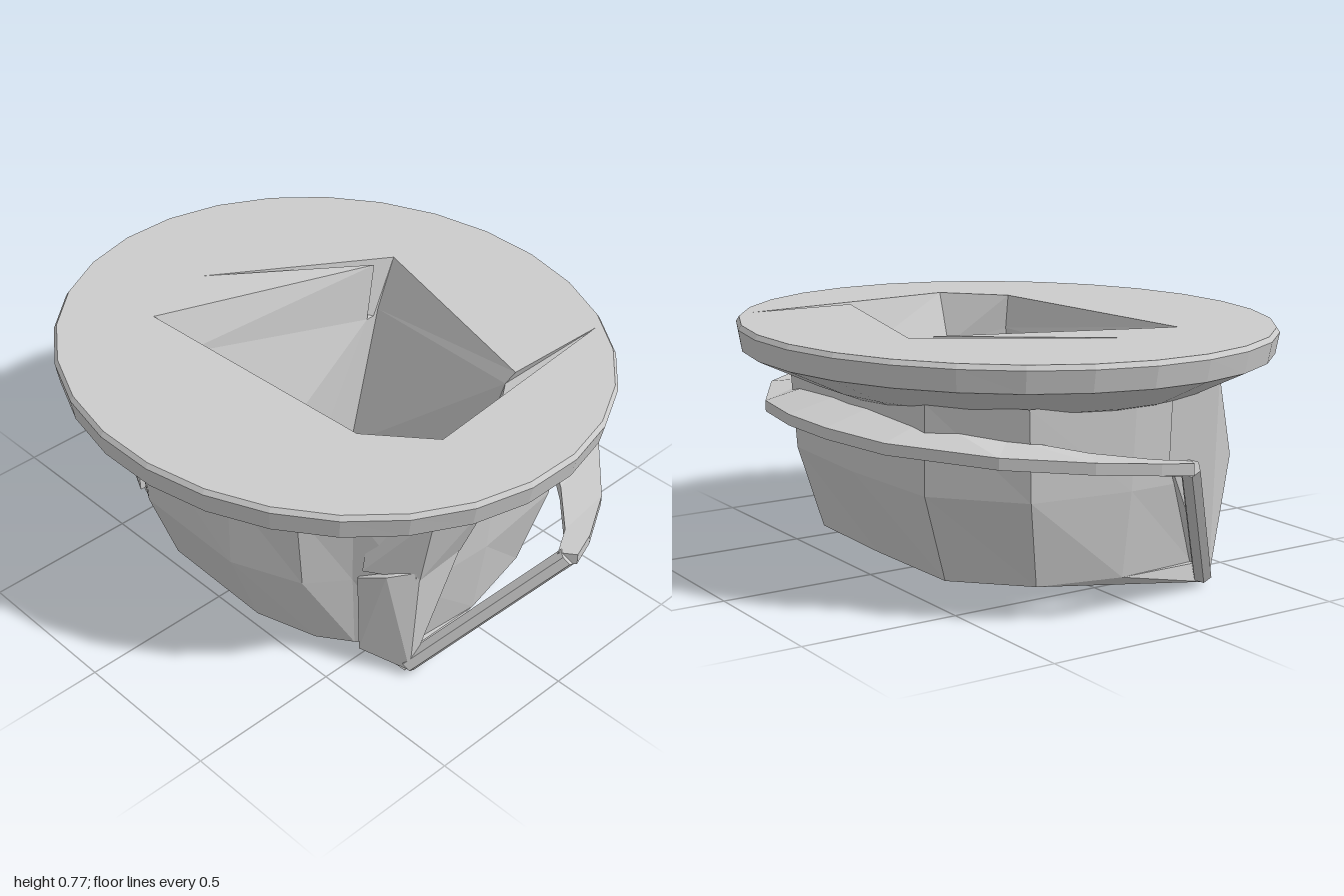
import * as THREE from 'three';
import { ConvexGeometry } from 'three/addons/geometries/ConvexGeometry.js';

const material = new THREE.MeshStandardMaterial({
  color: 0xcccccc, flatShading: true, side: THREE.DoubleSide,
});

// Skin between cross-sections that share a point count
function loft(sections, capEnds = false) {
  const n = sections[0].length, pos = sections.flat(2), idx = [];
  for (let s = 0; s < sections.length - 1; s++) {
    for (let i = 0; i < n; i++) {
      const a = s * n + i, b = s * n + (i + 1) % n;
      idx.push(a, a + n, b, b, a + n, b + n);
    }
  }
  if (capEnds) {
    const last = (sections.length - 1) * n;
    for (let i = 1; i < n - 1; i++) idx.push(0, i, i + 1, last, last + i + 1, last + i);
  }
  const g = new THREE.BufferGeometry();
  g.setAttribute('position', new THREE.Float32BufferAttribute(pos, 3));
  g.setIndex(idx);
  const flat = g.toNonIndexed();
  flat.computeVertexNormals();
  return flat;
}

const ring = (points, y) => points.map(([x, z]) => [x, y, z]);
const ellipse = (rx, rz, y, n = 28) => Array.from({ length: n }, (_, i) => {
  const a = -(i + 0.5) / n * Math.PI * 2;
  return [Math.cos(a) * rx, y, Math.sin(a) * rz];
});
const hull = (points) => new ConvexGeometry(points.map((p) => new THREE.Vector3(...p)));

// Flat horizontal sheet from x, z outlines
const toPlane = (points) => points.map(([x, z]) => new THREE.Vector2(x, -z));
function sheet(outline, y, hole) {
  const shape = new THREE.Shape(toPlane(outline));
  if (hole) shape.holes.push(new THREE.Path(toPlane(hole)));
  return new THREE.ShapeGeometry(shape).rotateX(-Math.PI / 2).translate(0, y, 0);
}

export function createModel() {
  const group = new THREE.Group();
  const add = (name, geometry) => {
    const mesh = new THREE.Mesh(geometry, material);
    mesh.name = name;
    group.add(mesh);
    return mesh;
  };

  // Faceted bowl: three outlines from floor to lid
  const low = [[-0.2, 0.5], [0.2, 0.51], [0.4, 0.45], [0.5, 0.38], [0.62, 0.28], [0.64, 0], [0.58, -0.27],
    [0.38, -0.46], [0, -0.47], [-0.38, -0.46], [-0.58, -0.27], [-0.64, 0], [-0.62, 0.28], [-0.4, 0.42]];
  const mid = [[-0.2, 0.6], [0.2, 0.61], [0.42, 0.52], [0.51, 0.4], [0.67, 0.3], [0.68, 0], [0.64, -0.33],
    [0.4, -0.54], [0, -0.56], [-0.4, -0.54], [-0.64, -0.33], [-0.68, 0], [-0.67, 0.3], [-0.46, 0.45]];
  const high = [[-0.2, 0.61], [0.2, 0.61], [0.42, 0.54], [0.53, 0.42], [0.69, 0.3], [0.7, 0], [0.66, -0.35],
    [0.42, -0.55], [0, -0.57], [-0.42, -0.55], [-0.66, -0.35], [-0.7, 0], [-0.69, 0.3], [-0.49, 0.46]];
  add('bowl', loft([ring(low, 0.068), ring(mid, 0.34), ring(high, 0.62)]));
  add('bowlBase', sheet(low, 0.068));

  // Wedges under the base that slope down to each foot
  add('rightBaseWedge', hull([
    [-0.65, 0.005, 0.31], [-0.6, 0.0, 0.29], [-0.2, 0.068, 0.38], [-0.4, 0.068, 0.42],
    [-0.38, 0.068, -0.46], [-0.58, 0.068, -0.27], [-0.64, 0.068, 0], [-0.64, 0.068, 0.29],
  ]));
  add('leftBaseWedge', hull([
    [0.65, 0.005, 0.31], [0.6, 0.0, 0.29], [0.52, 0.068, 0.36], [0.53, 0.068, 0.1],
    [0.48, 0.068, -0.37], [0.58, 0.068, -0.27], [0.64, 0.068, 0], [0.64, 0.068, 0.29],
  ]));

  // Lid rim with its conical lower face
  add('lidRim', loft([
    ellipse(0.6, 0.53, 0.56), ellipse(0.72, 0.63, 0.6), ellipse(0.905, 0.82, 0.69),
    ellipse(0.92, 0.83, 0.757), ellipse(0.91, 0.82, 0.772),
  ]));

  // Flat lid top with an irregular, slit-cornered opening
  const opening = [[-0.2, -0.47], [0.52, -0.27], [0.53, -0.63], [0.6, 0.13],
    [0.41, 0.29], [-0.47, 0.33], [-0.21, -0.39], [-0.55, 0.07]];
  const lidEdge = ellipse(0.91, 0.82, 0).map(([x, , z]) => [x, z]);
  add('lidTop', sheet(lidEdge, 0.772, opening));

  // Lip hanging below the opening, then the cavity walls and floor
  const lip = [[-0.2, 0.6, -0.4], [0.5, 0.73, -0.25], [0.52, 0.62, -0.2], [0.53, 0.6, 0.12],
    [0.41, 0.66, 0.28], [-0.4, 0.64, 0.28], [-0.2, 0.58, -0.35], [-0.2, 0.58, -0.38]];
  const floor = [[-0.2, -0.28], [0.3, -0.27], [0.42, -0.2], [0.48, 0.1],
    [0.42, 0.34], [-0.22, 0.25], [-0.2, -0.1], [-0.2, -0.2]];
  add('innerWall', loft([ring(opening, 0.772), lip, ring(floor, 0.1)]));
  add('innerFloor', sheet(floor, 0.1));

  // Corner lugs tapering down to the feet
  add('rightLug', hull([
    [-0.71, 0.66, 0.3], [-0.7, 0.62, 0.13], [-0.69, 0.42, 0.13], [-0.5, 0.6, 0.42],
    [-0.53, 0.34, 0.4], [-0.66, 0.4, 0.39],
    [-0.67, 0.02, 0.31], [-0.6, 0.0, 0.3], [-0.53, 0.068, 0.39],
  ]));
  add('leftLug', hull([
    [0.68, 0.41, 0.29], [0.69, 0.42, 0.13], [0.53, 0.36, 0.4], [0.62, 0.4, 0.37],
    [0.67, 0.02, 0.31], [0.6, 0.0, 0.3], [0.53, 0.068, 0.39], [0.5, 0.36, 0.3],
  ]));

  // Block flaring outward between the left lug and the lid
  add('lidBrace', hull([
    [0.79, 0.65, 0.13], [0.74, 0.66, 0.3], [0.69, 0.41, 0.13], [0.68, 0.38, 0.29],
    [0.55, 0.4, 0.4], [0.55, 0.62, 0.36], [0.55, 0.62, 0.13],
  ]));

  // Slanted struts from feet to handle
  for (const s of [1, -1]) {
    const a = new THREE.Vector3(s * 0.65, 0.03, 0.3), b = new THREE.Vector3(s * 0.97, 0.47, -0.02);
    const strut = add(s > 0 ? 'leftStrut' : 'rightStrut',
      new THREE.CylinderGeometry(0.03, 0.03, a.distanceTo(b), 6));
    strut.position.copy(a).lerp(b, 0.5);
    strut.quaternion.setFromUnitVectors(new THREE.Vector3(0, 1, 0), b.clone().sub(a).normalize());
  }

  // Handle band sweeping round the back: outer x, z, y, then inner x, z, y
  const half = [
    [1.0, -0.03, 0.475, 0.95, 0.0, 0.485], [0.97, -0.12, 0.48, 0.9, -0.09, 0.49],
    [0.88, -0.28, 0.485, 0.77, -0.22, 0.5], [0.7, -0.48, 0.49, 0.58, -0.37, 0.525],
    [0.38, -0.66, 0.495, 0.34, -0.48, 0.56], [0.12, -0.71, 0.5, 0.1, -0.5, 0.57],
  ];
  const mirrored = half.map(([x, z, y, u, w, v]) => [-x, z, y, -u, w, v]).reverse();
  add('handle', loft([...half, ...mirrored].map(([x, z, y, u, w, v]) => [
    [x, y + 0.015, z], [u, v, w], [u, v - 0.045, w], [x, y - 0.02, z],
  ]), true));

  return group;
}
